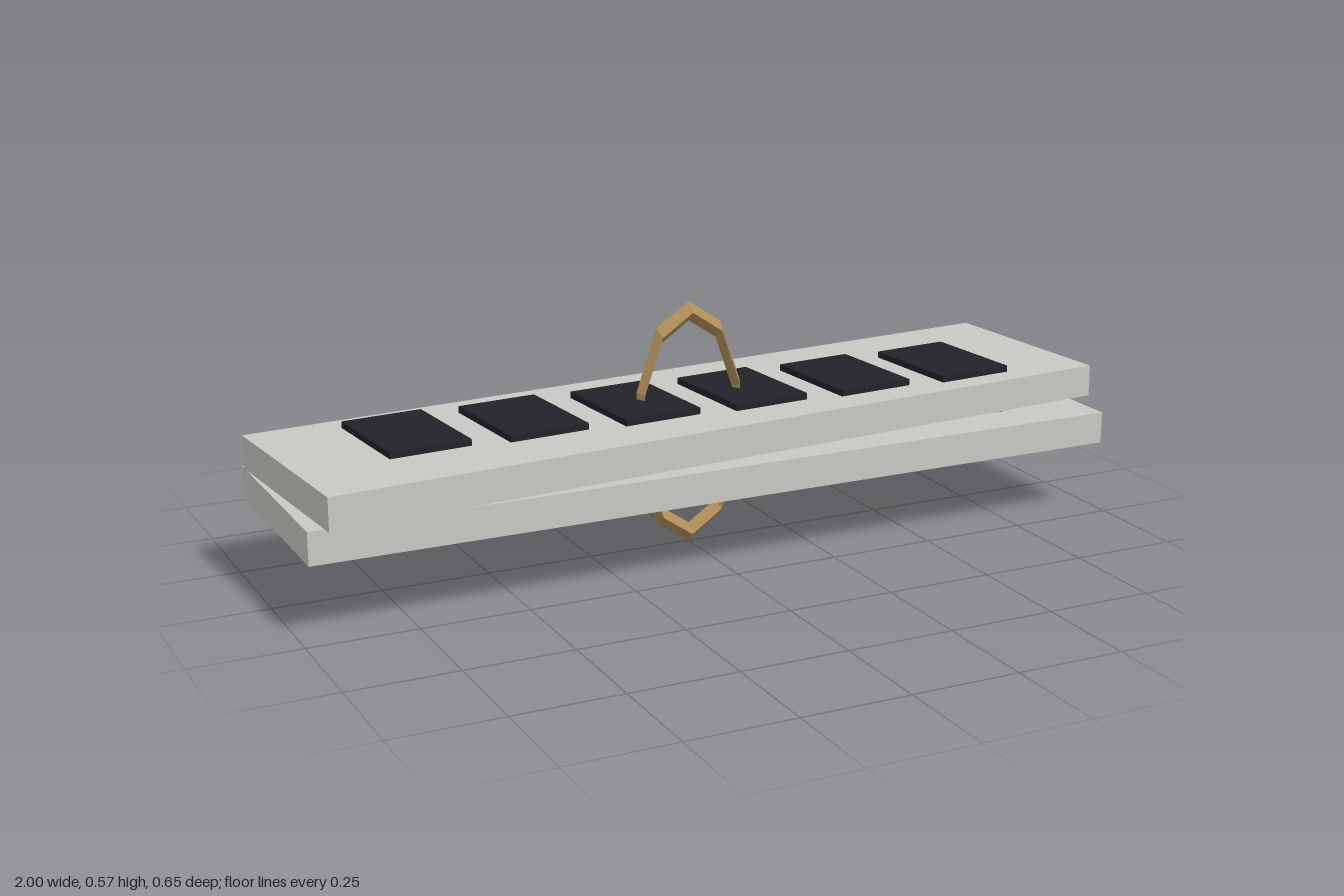
import * as THREE from 'three';

export function createModel() {
  const model = new THREE.Group();
  const slabMat = new THREE.MeshStandardMaterial({ color: 0xc8c8c3 });
  const padMat = new THREE.MeshStandardMaterial({ color: 0x222228 });
  const ringMat = new THREE.MeshStandardMaterial({ color: 0xb08d57, flatShading: true });

  const slabGeo = new THREE.BoxGeometry(1.966, 0.075, 0.492);
  const padGeo = new THREE.BoxGeometry(0.19, 0.015, 0.265);

  // A slab with a row of six pads; each pad turns about its own centre
  function addPlate(name, bottom, turn) {
    const plate = new THREE.Group();
    plate.name = name;
    const slab = new THREE.Mesh(slabGeo, slabMat);
    slab.name = name + 'Slab';
    slab.position.y = bottom + 0.0375;
    slab.rotation.y = turn;
    plate.add(slab);
    for (let i = 0; i < 6; i++) {
      const pad = new THREE.Mesh(padGeo, padMat);
      pad.name = name + 'Pad' + (i + 1);
      pad.position.set((i - 2.5) * 0.273, bottom + 0.0825, 0);
      pad.rotation.y = turn;
      plate.add(pad);
    }
    model.add(plate);
  }
  addPlate('lowerPlate', 0.175, 0);
  addPlate('upperPlate', 0.27, 0.081);

  // Narrow faceted ring passing through both plates, with a corner at top and bottom
  const ringGeo = new THREE.TorusGeometry(0.265, 0.0225, 4, 10);
  ringGeo.rotateZ(Math.PI / 2);
  ringGeo.scale(0.48, 1, 1);
  const ring = new THREE.Mesh(ringGeo, ringMat);
  ring.name = 'bindingRing';
  ring.position.y = 0.2875;
  model.add(ring);

  return model;
}
